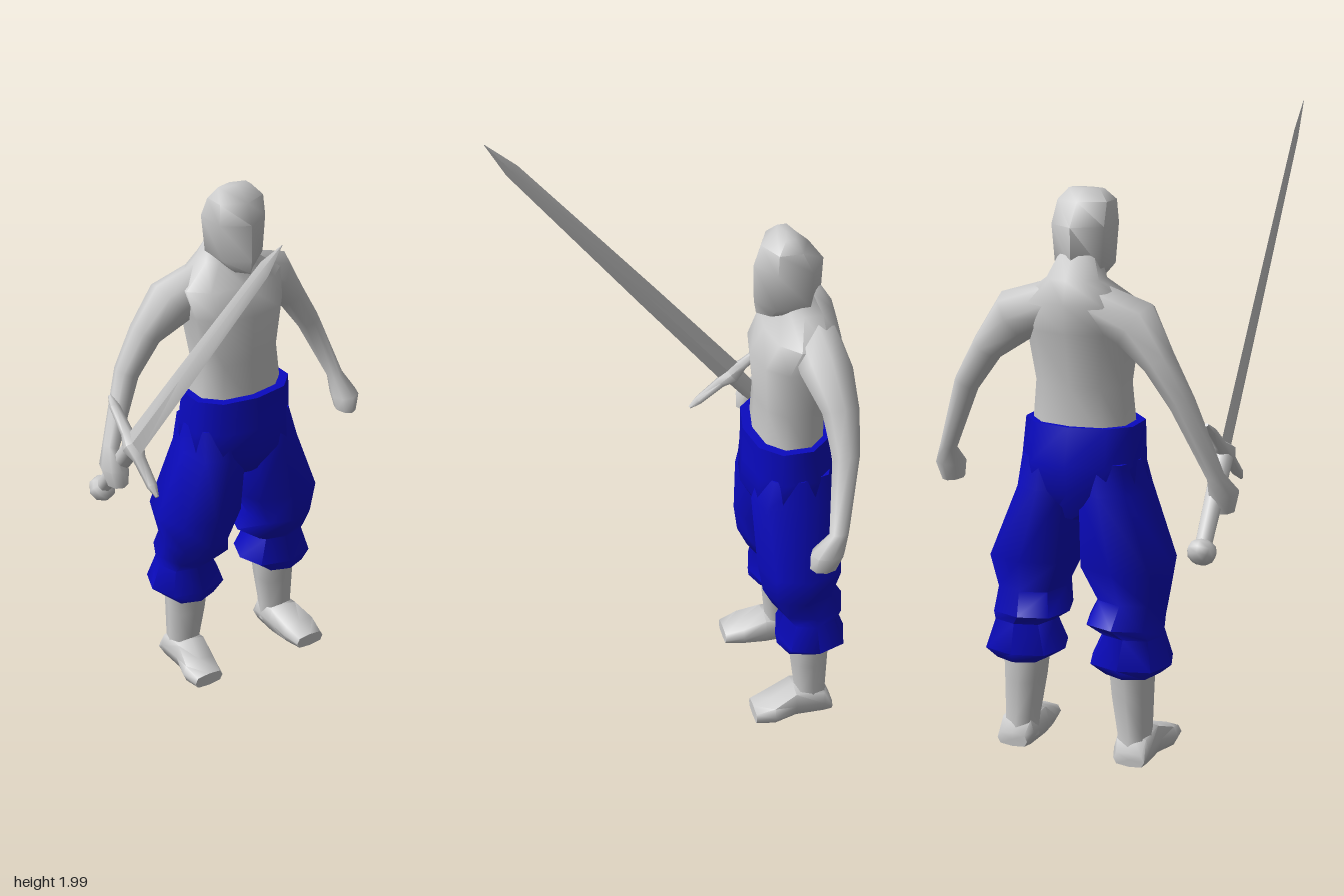
import * as THREE from 'three';
import { toCreasedNormals } from 'three/addons/utils/BufferGeometryUtils.js';

const grey = new THREE.MeshStandardMaterial({ color: 0xcccccc });
const blue = new THREE.MeshStandardMaterial({ color: 0x0a0ac0 });

// Closed skin over a list of equal-sized rings of Vector3
function loft(rings, crease = 1.15) {
  const n = rings[0].length, pts = rings.flat(), index = [];
  const centre = (r) => r.reduce((s, p) => s.add(p), new THREE.Vector3()).divideScalar(n);
  for (let i = 0; i < rings.length - 1; i++) {
    for (let j = 0; j < n; j++) {
      const a = i * n + j, b = i * n + (j + 1) % n;
      index.push(a, b, a + n, b, b + n, a + n);
    }
  }
  const last = (rings.length - 1) * n, top = pts.length;
  pts.push(centre(rings[0]), centre(rings[rings.length - 1]));
  for (let j = 0; j < n; j++) {
    const k = (j + 1) % n;
    index.push(top, k, j, top + 1, last + j, last + k);
  }
  // Turn the faces outwards if the enclosed volume is negative
  let volume = 0;
  for (let i = 0; i < index.length; i += 3) {
    volume += pts[index[i]].dot(pts[index[i + 1]].clone().cross(pts[index[i + 2]]));
  }
  if (volume < 0) index.reverse();
  const geo = new THREE.BufferGeometry().setFromPoints(pts);
  geo.setIndex(index);
  return toCreasedNormals(geo, crease);
}

// Ring around a centre, spanned by two half-axes; power < 1 makes it squarer
function ring(c, u, v, n = 8, power = 1) {
  const shape = (t) => Math.sign(t) * Math.pow(Math.abs(t), power);
  return Array.from({ length: n }, (_, i) => {
    const a = (i / n) * Math.PI * 2;
    const s = Math.abs(Math.sin(a)) < 1e-9 ? 0 : shape(Math.sin(a));
    const k = Math.abs(Math.cos(a)) < 1e-9 ? 0 : shape(Math.cos(a));
    return c.clone().addScaledVector(u, s).addScaledVector(v, k);
  });
}

// Level ring between x0..x1 and back..front
const levelRing = (y, x0, x1, front, back, n, power) => ring(
  new THREE.Vector3((x0 + x1) / 2, y, (front + back) / 2),
  new THREE.Vector3((x1 - x0) / 2, 0, 0),
  new THREE.Vector3(0, 0, (front - back) / 2), n, power);

// Upright ring between x0..x1 and y0..y1
const uprightRing = (z, x0, x1, y0, y1, n = 8, power = 0.6) => ring(
  new THREE.Vector3((x0 + x1) / 2, (y0 + y1) / 2, z),
  new THREE.Vector3((x1 - x0) / 2, 0, 0),
  new THREE.Vector3(0, (y1 - y0) / 2, 0), n, power);

const flip = (rings) => rings.map((r) => r.map((p) => new THREE.Vector3(-p.x, p.y, p.z)));

function add(parent, name, geo, material = grey) {
  const mesh = new THREE.Mesh(geo, material);
  mesh.name = name;
  parent.add(mesh);
  return mesh;
}

function addPair(parent, name, rings, material) {
  add(parent, 'left' + name, loft(rings), material);
  add(parent, 'right' + name, loft(flip(rings)), material);
}

// Limb along a path in the xy plane: [x, y, z, in-plane radius, z radius]
function limbRings(path) {
  const at = (i) => path[Math.min(Math.max(i, 0), path.length - 1)];
  return path.map(([x, y, z, r, rz], i) => {
    const p = at(i - 1), q = at(i + 1);
    const side = new THREE.Vector3(p[1] - q[1], q[0] - p[0], 0).normalize();
    return ring(new THREE.Vector3(x, y, z), side.multiplyScalar(r), new THREE.Vector3(0, 0, rz));
  });
}

function makeSword() {
  const sword = new THREE.Group();
  sword.name = 'sword';
  const base = new THREE.Vector3(-0.445, 0.745, -0.49);
  const along = new THREE.Vector3(-0.395, 1.99, 0.527).sub(base);
  const length = along.length();
  sword.position.copy(base);
  sword.quaternion.setFromUnitVectors(new THREE.Vector3(0, 1, 0), along.normalize());

  const pommel = add(sword, 'pommel', new THREE.SphereGeometry(0.047, 8, 6));
  pommel.scale.y = 0.85;
  add(sword, 'grip', new THREE.CylinderGeometry(0.033, 0.027, 0.31, 8)).position.y = 0.17;

  // Diamond-section blade tapering to the tip
  const blade = [[0.32, 0.014, 0.043], [0.8, 0.011, 0.037], [length - 0.13, 0.007, 0.024], [length, 0.001, 0.001]]
    .map(([y, x, z]) => levelRing(y, -x, x, z, -z, 4));
  add(sword, 'blade', loft(blade, 0.6));

  // Crossguard, thick in the middle with pointed ends
  const guard = [[-0.19, 0.006, 0.006], [-0.15, 0.018, 0.014], [-0.05, 0.022, 0.018], [0, 0.038, 0.035],
    [0.05, 0.022, 0.018], [0.15, 0.018, 0.014], [0.19, 0.006, 0.006]]
    .map(([z, x, y]) => uprightRing(z, -x, x, 0.33 - y, 0.33 + y, 6, 1));
  add(sword, 'crossguard', loft(guard));
  return sword;
}

export function createModel() {
  const model = new THREE.Group();
  model.name = 'swordsman';

  // Head: [y, half width, front z, back z]
  const head = [[1.515, 0.04, -0.24, -0.40], [1.56, 0.088, -0.232, -0.448], [1.685, 0.1, -0.228, -0.452],
    [1.755, 0.094, -0.25, -0.40], [1.79, 0.06, -0.3, -0.36]];
  add(model, 'head', loft(head.map(([y, w, f, b]) => levelRing(y, -w, w, f, b, 6))));

  // Torso with neck
  const torso = [[1.04, 0.165, -0.235, -0.465], [1.2, 0.15, -0.24, -0.465], [1.37, 0.175, -0.222, -0.495],
    [1.46, 0.19, -0.265, -0.505], [1.53, 0.09, -0.32, -0.485], [1.6, 0.06, -0.32, -0.44]];
  add(model, 'torso', loft(torso.map(([y, w, f, b]) => levelRing(y, -w, w, f, b, 10, 0.85))));

  // Arms with closed hands
  addPair(model, 'Arm', limbRings([
    [0.06, 1.455, -0.41, 0.07, 0.08], [0.2, 1.4, -0.415, 0.085, 0.085], [0.285, 1.3, -0.44, 0.052, 0.06],
    [0.36, 1.18, -0.44, 0.042, 0.045], [0.452, 0.955, -0.4, 0.028, 0.032],
    [0.465, 0.895, -0.362, 0.048, 0.056], [0.462, 0.838, -0.352, 0.034, 0.045]]));

  // Trousers: seat and two baggy, gathered legs
  const seat = [[1.08, 0.188, -0.205, -0.48], [0.96, 0.195, -0.205, -0.505],
    [0.87, 0.2, -0.2, -0.49], [0.78, 0.12, -0.25, -0.45]];
  add(model, 'trouserSeat', loft(seat.map(([y, w, f, b]) => levelRing(y, -w, w, f, b, 10, 0.85))), blue);
  const leg = [[0.97, 0, 0.19, -0.24, -0.48], [0.87, 0, 0.208, -0.21, -0.49], [0.64, 0.003, 0.308, -0.222, -0.512],
    [0.53, 0.06, 0.283, -0.24, -0.48], [0.46, 0.035, 0.285, -0.275, -0.52], [0.425, 0.088, 0.285, -0.31, -0.49],
    [0.335, 0.048, 0.315, -0.285, -0.525], [0.3, 0.1, 0.275, -0.29, -0.5]];
  addPair(model, 'TrouserLeg', leg.map(([y, a, b, f, k]) => levelRing(y, a, b, f, k, 8, 0.8)), blue);

  // Shins and bare feet
  const shin = [[0.36, 0.105, 0.255, -0.325, -0.475], [0.22, 0.12, 0.252, -0.34, -0.47],
    [0.1, 0.14, 0.25, -0.355, -0.465], [0.03, 0.14, 0.25, -0.355, -0.475]];
  addPair(model, 'Shin', shin.map(([y, a, b, f, k]) => levelRing(y, a, b, f, k, 8, 0.75)));
  const foot = [[-0.48, 0.15, 0.255, 0.005, 0.05], [-0.45, 0.14, 0.26, 0, 0.1], [-0.35, 0.135, 0.26, 0, 0.11],
    [-0.27, 0.145, 0.282, 0, 0.075], [-0.205, 0.16, 0.27, 0.005, 0.052]];
  addPair(model, 'Foot', foot.map(([z, a, b, y0, y1]) => uprightRing(z, a, b, y0, y1)));

  model.add(makeSword());
  return model;
}
